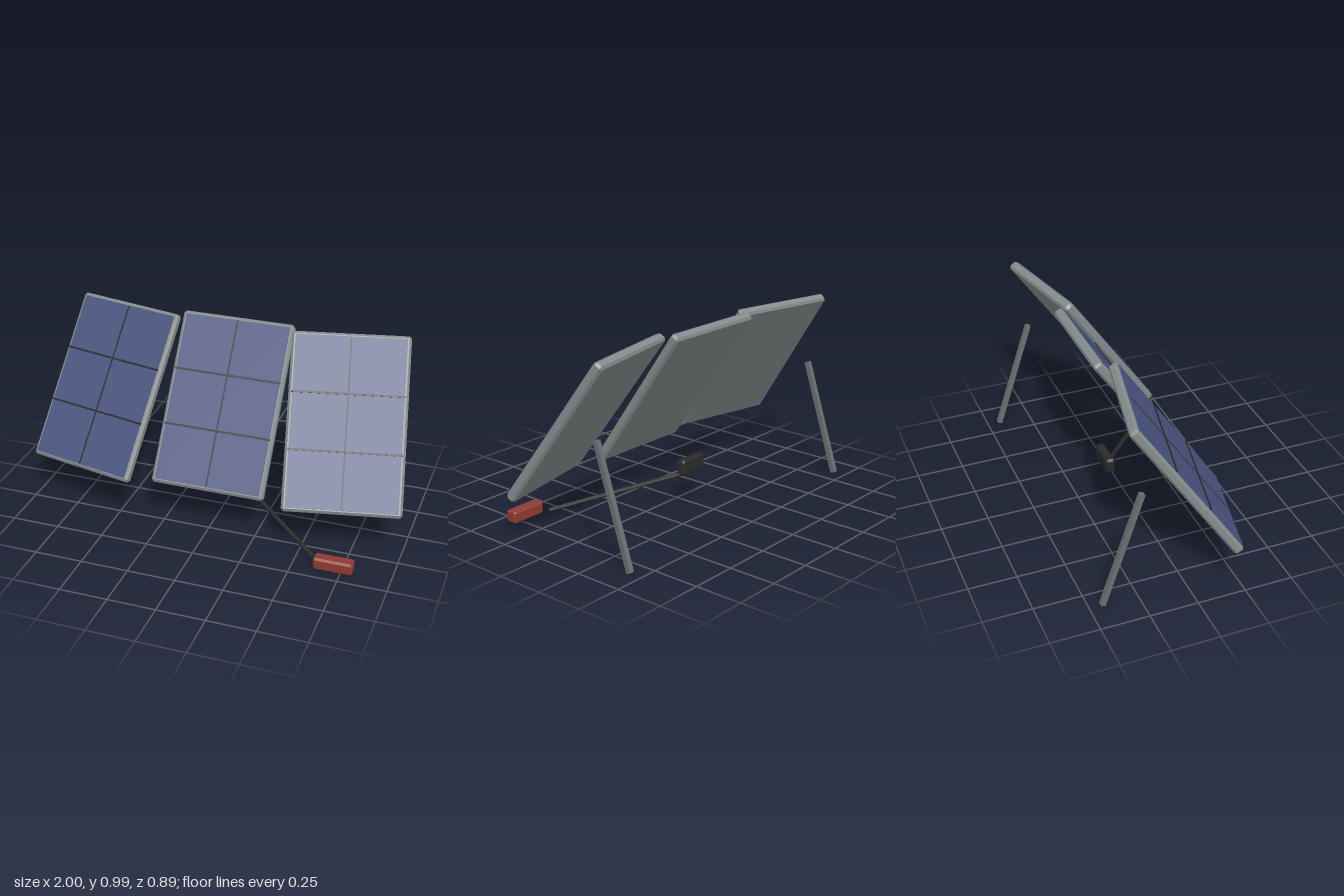
import * as THREE from 'three';
import { ConvexGeometry } from 'three/addons/geometries/ConvexGeometry.js';

const mat = (name, color) => {
  const m = new THREE.MeshStandardMaterial({ color, flatShading: true });
  m.name = name;
  return m;
};

// Box with every edge cut by a single flat bevel
function chamferBox(w, h, d, b) {
  const pts = [];
  for (const sx of [-1, 1]) for (const sy of [-1, 1]) for (const sz of [-1, 1])
    for (let axis = 0; axis < 3; axis++) {
      const half = [w, h, d].map((s, i) => s / 2 - (i === axis ? 0 : b));
      pts.push(new THREE.Vector3(sx * half[0], sy * half[1], sz * half[2]));
    }
  return new ConvexGeometry(pts);
}

function add(parent, name, geometry, material, x = 0, y = 0, z = 0) {
  const mesh = new THREE.Mesh(geometry, material);
  mesh.name = name;
  mesh.position.set(x, y, z);
  parent.add(mesh);
  return mesh;
}

export function createModel() {
  const model = new THREE.Group();
  model.name = 'foldingSolarPanel';

  const frameGrey = mat('frameGrey', 0x858c8c);
  const legGrey = mat('legGrey', 0x687072);
  const cellBlue = mat('cellBlue', 0x4a5580);
  const black = mat('black', 0x2a2a2a);
  const plugRed = mat('plugRed', 0x8f3a33);

  // Three tilted panels, the outer two turned outwards
  const W = 0.6, H = 0.91, T = 0.05, tilt = THREE.MathUtils.degToRad(35);
  const frameGeo = chamferBox(W, H, T, 0.012);
  const cellGeo = new THREE.BoxGeometry(0.56, 0.875, 0.008);
  const columnGeo = new THREE.BoxGeometry(0.008, 0.87, 0.006);
  const rowGeo = new THREE.BoxGeometry(0.57, 0.01, 0.008);
  ['rightPanel', 'centrePanel', 'leftPanel'].forEach((name, i) => {
    const side = i - 1;
    const panel = new THREE.Group();
    panel.name = name;
    panel.position.set(side * 0.65, 0.617, 0.02);
    panel.rotation.set(-tilt, side * THREE.MathUtils.degToRad(12), 0, 'YXZ');
    add(panel, 'frame', frameGeo, frameGrey);
    add(panel, 'cells', cellGeo, cellBlue, 0, 0, 0.026);
    add(panel, 'columnDivider', columnGeo, black, 0, 0, 0.0282);
    for (const s of [-1, 1])
      add(panel, 'rowDivider', rowGeo, black, 0, s * 0.146, 0.031);
    model.add(panel);
  });

  // Rear support legs
  const legGeo = new THREE.BoxGeometry(0.027, 0.635, 0.026);
  for (const s of [-1, 1]) {
    const leg = add(model, s > 0 ? 'leftLeg' : 'rightLeg', legGeo, legGrey, s * 0.845, 0.311, -0.333);
    leg.rotation.x = Math.atan2(0.2, 0.607);
  }

  // Junction box, cable and plug
  add(model, 'junctionBox', chamferBox(0.17, 0.084, 0.05, 0.011), black, 0, 0.219, -0.094);
  const start = new THREE.Vector3(0, 0.176, -0.092), end = new THREE.Vector3(0.592, 0.025, 0.361);
  const run = end.clone().sub(start);
  const cable = add(model, 'cable', new THREE.CylinderGeometry(0.011, 0.011, run.length(), 8), black);
  cable.position.copy(start).lerp(end, 0.5);
  cable.quaternion.setFromUnitVectors(new THREE.Vector3(0, 1, 0), run.normalize());
  add(model, 'plug', chamferBox(0.2, 0.065, 0.066, 0.01), plugRed, 0.71, 0.042, 0.413);

  return model;
}
